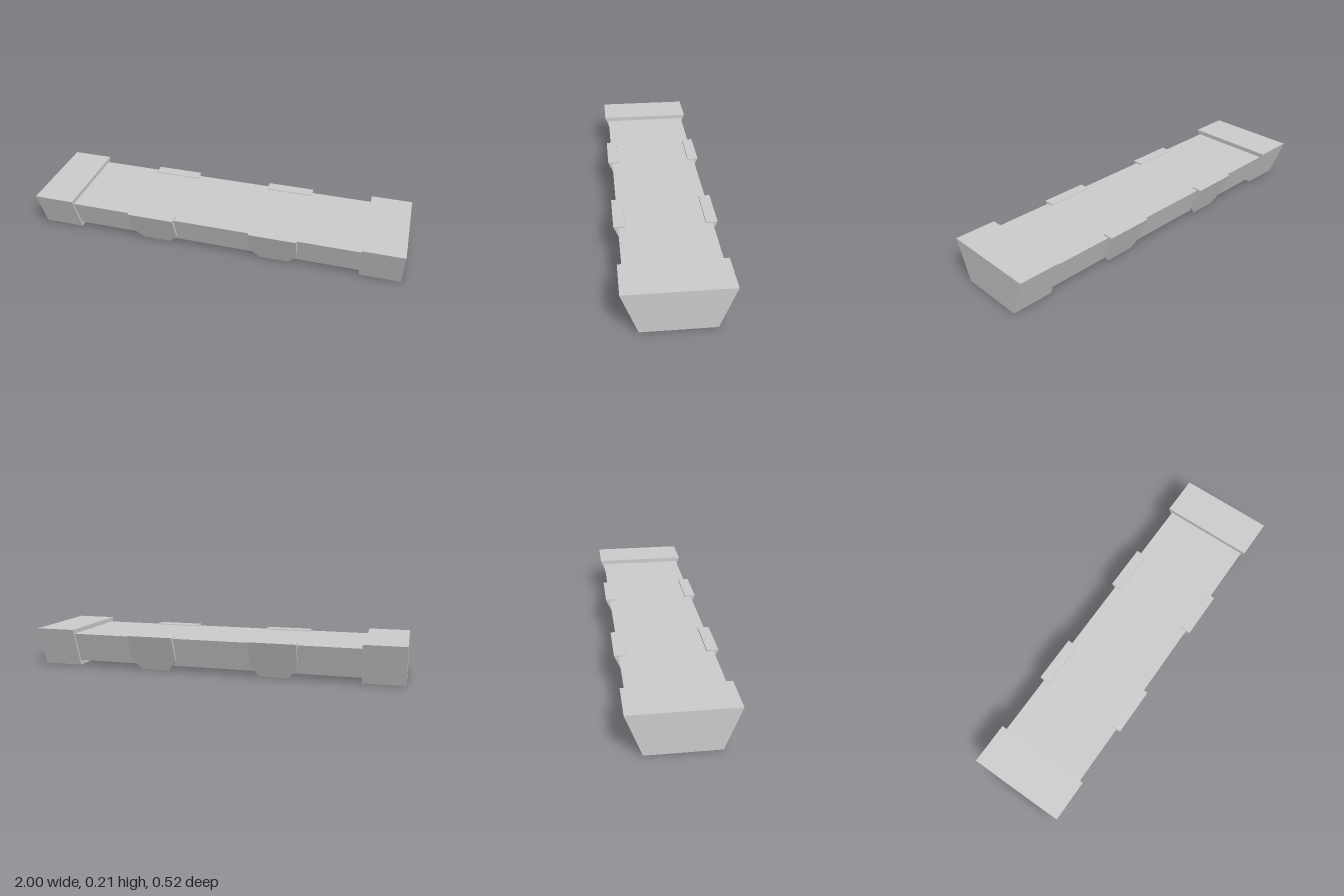
import * as THREE from 'three';

const material = new THREE.MeshStandardMaterial({ color: 0xcccccc, flatShading: true });
const smooth = new THREE.MeshStandardMaterial({ color: 0xcccccc });

const toShape = (points) => new THREE.Shape(points.map(([x, y]) => new THREE.Vector2(x, y)));

function addMesh(group, name, geometry, mat = material) {
  const mesh = new THREE.Mesh(geometry, mat);
  mesh.name = name;
  group.add(mesh);
  return mesh;
}

// Extrudes a cross-section (z, y) along x, from x0 to x1
function prismAlongX(points, x0, x1) {
  return new THREE.ExtrudeGeometry(toShape(points), { depth: x1 - x0, bevelEnabled: false })
    .rotateY(Math.PI / 2)
    .translate(x0, 0, 0);
}

// Side clip: chamfered plate leaning outwards, thin at the foot and thick at the top
function clipGeometry() {
  const outline = [
    [-0.078, 0], [0.078, 0], [0.126, 0.06], [0.126, 0.195], [-0.126, 0.195], [-0.126, 0.06],
  ];
  const geometry = new THREE.ExtrudeGeometry(toShape(outline), { depth: 1, bevelEnabled: false });
  const p = geometry.attributes.position;
  for (let i = 0; i < p.count; i++) {
    const y = p.getY(i);
    p.setZ(i, p.getZ(i) > 0.5 ? 0.175 + 0.43 * y : 0.168 + 0.17 * y);
  }
  geometry.computeVertexNormals();
  return geometry;
}

export function createModel() {
  const group = new THREE.Group();
  group.name = 'channelBar';

  // Beam with a shallow channel underneath
  addMesh(group, 'channelBeam', prismAlongX([
    [-0.175, 0.028], [-0.235, 0.188], [0.235, 0.188], [0.175, 0.028],
    [0.157, 0.028], [0.184, 0.1], [-0.184, 0.1], [-0.157, 0.028],
  ], -0.79, 0.79));

  // Solid end blocks
  const block = [[-0.177, 0], [0.177, 0], [0.256, 0.212], [-0.256, 0.212]];
  addMesh(group, 'leftEndBlock', prismAlongX(block, 0.783, 1));
  addMesh(group, 'rightEndBlock', prismAlongX(block, -1, -0.783));

  // Two rods half sunk into the channel roof
  const rod = new THREE.CylinderGeometry(0.036, 0.036, 1.57, 24).rotateZ(Math.PI / 2);
  for (const z of [-0.055, 0.055]) {
    addMesh(group, 'innerRod', rod, smooth).position.set(0, 0.095, z);
  }

  // Each long side: two clips outside, two gussets inside
  const clip = clipGeometry();
  const gusset = prismAlongX([[0.16, 0.035], [0.184, 0.1], [0.135, 0.1]], -0.04, 0.04);
  for (const [side, turn] of [['front', 0], ['back', Math.PI]]) {
    for (const sign of [-1, 1]) {
      const clipMesh = addMesh(group, side + 'Clip', clip);
      clipMesh.position.x = sign * 0.332;
      clipMesh.rotation.y = turn;
      // The gusset section is drawn on the back side, so it turns the other way
      const gussetMesh = addMesh(group, side + 'Gusset', gusset);
      gussetMesh.position.x = sign * 0.62;
      gussetMesh.rotation.y = turn + Math.PI;
    }
  }
  return group;
}
